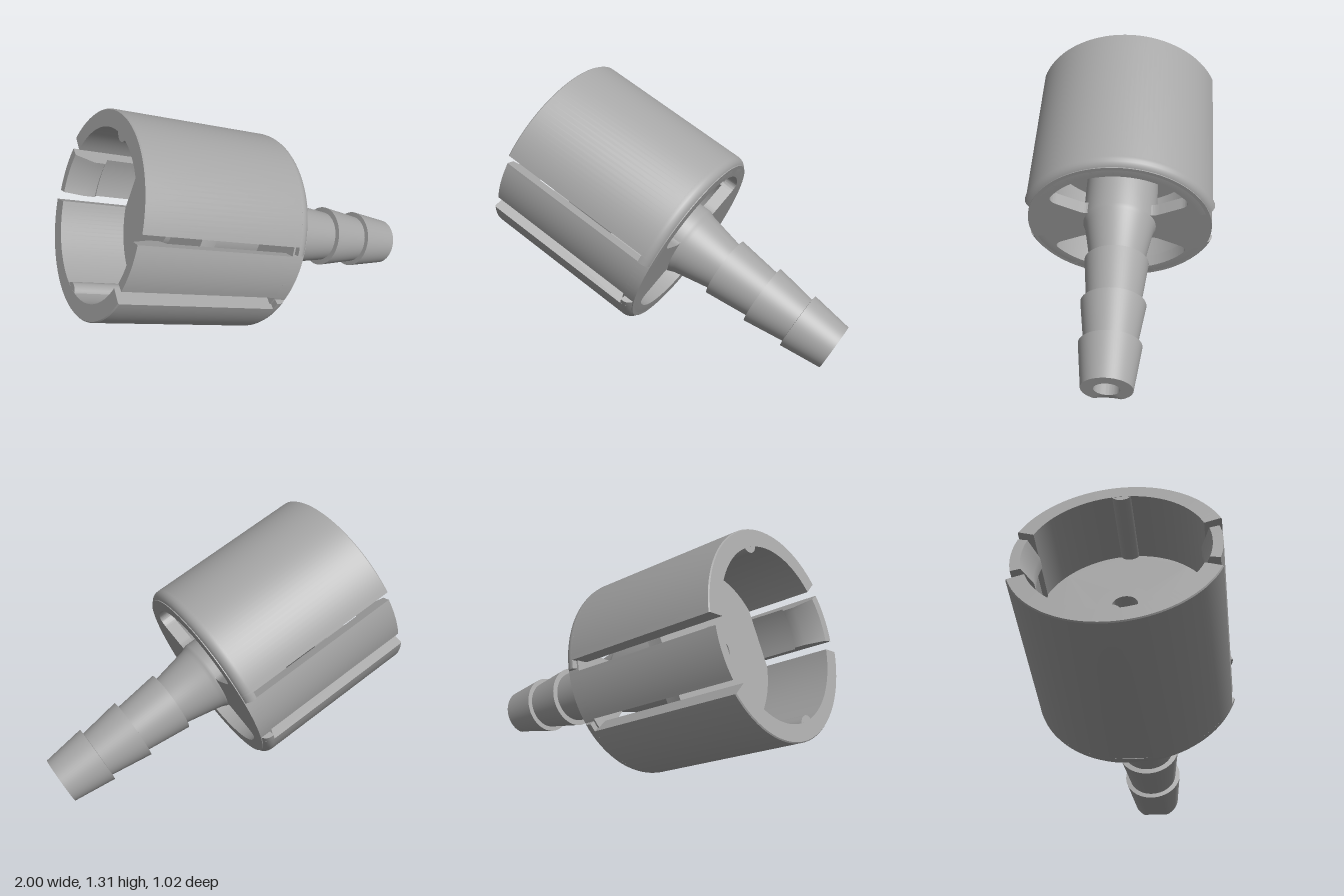
import * as THREE from 'three';
import { mergeGeometries, toCreasedNormals } from 'three/addons/utils/BufferGeometryUtils.js';

const rad = THREE.MathUtils.degToRad;
const V = (r, s) => new THREE.Vector2(r, s);

// Local frame: y runs along the part from the open cup mouth to the nozzle tip.
const tilt = rad(22.5);
const place = new THREE.Matrix4()
  .makeBasis(
    new THREE.Vector3(Math.sin(tilt), Math.cos(tilt), 0),
    new THREE.Vector3(Math.cos(tilt), -Math.sin(tilt), 0),
    new THREE.Vector3(0, 0, -1))
  .setPosition(-0.797, 0.825, 0);

// Revolved sector of a closed counter-clockwise profile, with both ends capped.
function sector(profile, from, to) {
  const a = rad(from), b = rad(to);
  const segments = Math.max(8, Math.ceil((to - from) / 3));
  const body = new THREE.LatheGeometry([...profile, profile[0]], segments, a, b - a);
  const start = new THREE.ShapeGeometry(new THREE.Shape(profile)).rotateY(a - Math.PI / 2);
  const end = new THREE.ShapeGeometry(new THREE.Shape(profile)).rotateY(b - Math.PI / 2);
  end.index.array.reverse();
  return mergeGeometries([body, start, end]);
}

// Flat plate between two positions along the axis.
function plate(shape, from, to) {
  return new THREE.ExtrudeGeometry(shape, { depth: to - from, bevelEnabled: false, curveSegments: 48 })
    .rotateX(-Math.PI / 2).translate(0, from, 0);
}

// Rounded fan-shaped opening in the front plate.
function windowHole(turn) {
  const at = (r, deg) => [r * Math.cos(rad(deg + turn)), r * Math.sin(rad(deg + turn))];
  const hole = new THREE.Path();
  hole.moveTo(...at(0.43, -56));
  hole.absarc(0, 0, 0.43, rad(turn - 56), rad(turn + 56), false);
  hole.quadraticCurveTo(...at(0.43, 62), ...at(0.37, 62));
  hole.lineTo(...at(0.25, 62));
  hole.quadraticCurveTo(...at(0.195, 62), ...at(0.195, 54));
  hole.absarc(0, 0, 0.195, rad(turn + 54), rad(turn - 54), true);
  hole.quadraticCurveTo(...at(0.195, -62), ...at(0.25, -62));
  hole.lineTo(...at(0.37, -62));
  hole.quadraticCurveTo(...at(0.43, -62), ...at(0.43, -56));
  return hole;
}

const circlePath = r => new THREE.Path().absarc(0, 0, r, 0, Math.PI * 2, true);

export function createModel() {
  const group = new THREE.Group();
  const plastic = new THREE.MeshStandardMaterial({ color: 0xa6a6a6 });
  plastic.name = 'grey plastic';

  const add = (name, geometry) => {
    geometry.applyMatrix4(place);
    // The lowest edges are trimmed flat where the part rests on the ground.
    const p = geometry.attributes.position;
    for (let i = 0; i < p.count; i++) p.setY(i, Math.max(0, p.getY(i)));
    const mesh = new THREE.Mesh(toCreasedNormals(geometry, rad(32)), plastic);
    mesh.name = name;
    group.add(mesh);
  };

  // Rounded front edge shared by the shells and the rim.
  const fillet = [];
  for (let i = 0; i <= 6; i++) {
    const t = rad(i * 15);
    fillet.push(V(0.48 + 0.05 * Math.cos(t), 0.89 + 0.05 * Math.sin(t)));
  }
  const shell = [V(0.44, 0), V(0.525, 0), V(0.53, 0.006), ...fillet, V(0.44, 0.94)];
  const rim = [V(0.44, 0.88), V(0.53, 0.88), ...fillet, V(0.44, 0.94)];
  // Spring finger with an inward catch near its free end.
  const finger = [V(0.45, 0), V(0.5, 0), V(0.5, 0.94), V(0.44, 0.94), V(0.44, 0.18), V(0.405, 0.16), V(0.405, 0.1)];

  for (const [side, turn] of [['upper', 0], ['lower', 180]]) {
    add(side + 'CupShell', sector(shell, turn + 20.7, turn + 159.3));
    add(side + 'FrontRim', sector(rim, turn + 16, turn + 164));
    const rib = new THREE.CylinderGeometry(0.055, 0.055, 0.38, 24);
    add(side + 'InnerRib', rib.translate(turn ? -0.465 : 0.465, 0.191, 0));
  }
  for (const [side, turn] of [['right', 0], ['left', 180]]) {
    add(side + 'SpringFinger', sector(finger, turn - 14.6, turn + 14.6));
  }

  // Front plate with two windows, leaving a spoke across the middle.
  const front = new THREE.Shape().absarc(0, 0, 0.5, 0, Math.PI * 2, false);
  front.holes.push(windowHole(0), windowHole(180), circlePath(0.12));
  add('frontPlate', plate(front, 0.87, 0.94));

  // Cup floor, cut straight beside the fingers so they can flex.
  const cut = Math.asin(0.41 / 0.445);
  const floor = new THREE.Shape();
  floor.absarc(0, 0, 0.445, -cut, cut, false);
  floor.absarc(0, 0, 0.445, Math.PI - cut, Math.PI + cut, false);
  floor.closePath();
  floor.holes.push(circlePath(0.1));
  add('cupFloor', plate(floor, 0.37, 0.45));

  // Hub and barbed nozzle around one through bore.
  const nozzle = [
    V(0.065, 0.34), V(0.14, 0.34), V(0.14, 0.39), V(0.2, 0.39), V(0.2, 0.935),
    V(0.193, 0.95), V(0.185, 0.97), V(0.143, 1.178),
    V(0.17, 1.18), V(0.14, 1.428), V(0.169, 1.43), V(0.134, 1.658),
    V(0.16, 1.66), V(0.129, 1.892), V(0.065, 1.892), V(0.065, 0.34),
  ];
  add('barbedNozzle', new THREE.LatheGeometry(nozzle, 72));

  return group;
}
